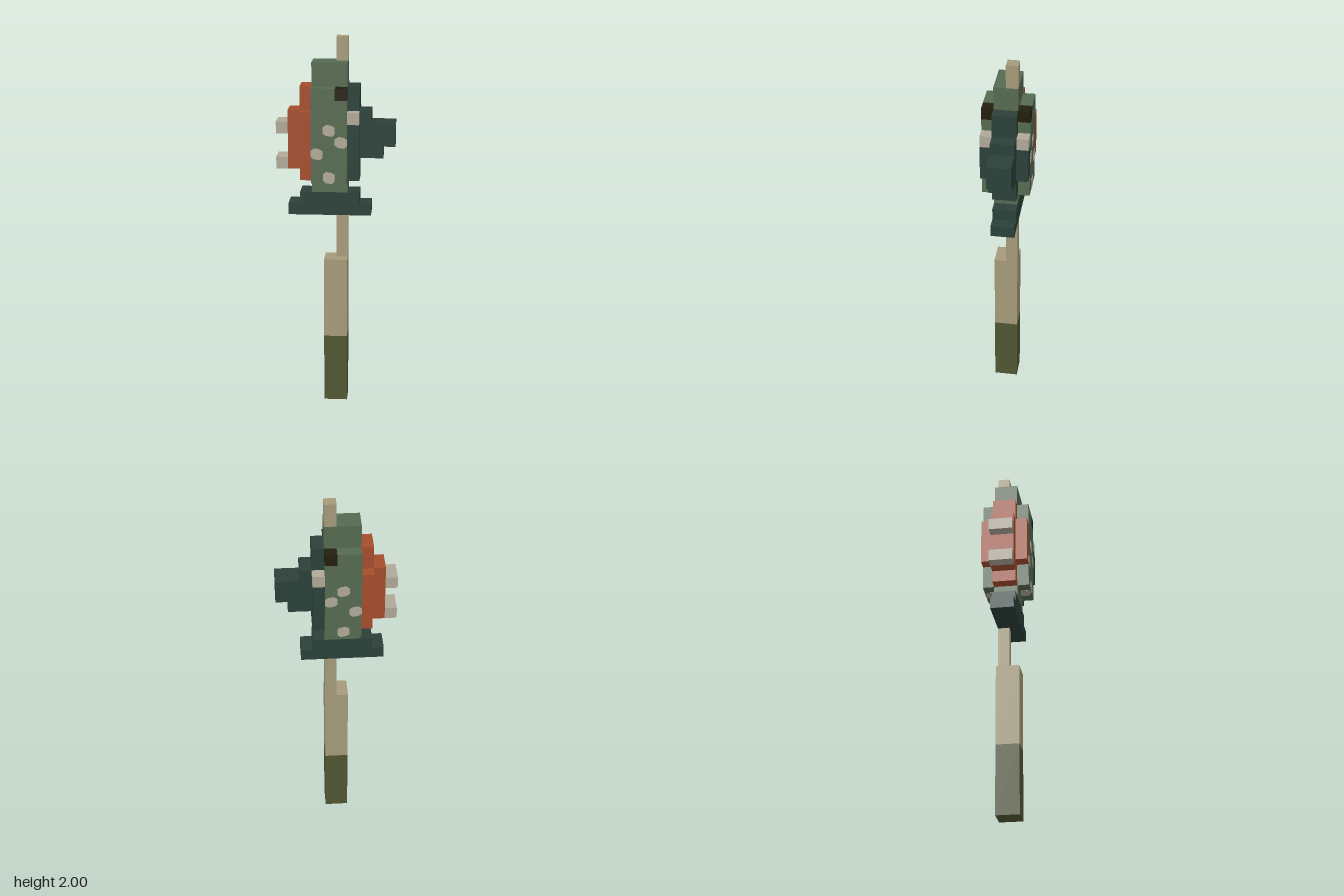
import * as THREE from 'three';

const U = 0.0625; // one voxel

const mat = (name, color) => {
  const m = new THREE.MeshStandardMaterial({ color });
  m.name = name;
  return m;
};

export function createModel() {
  const tan = mat('tan wood', 0xa59b7a);
  const olive = mat('olive grip', 0x505633);
  const teal = mat('dark teal', 0x2b4039);
  const green = mat('moss green', 0x566a51);
  const rust = mat('rust orange', 0xa54d2d);
  const cream = mat('cream', 0xb0a998);
  const black = mat('eye black', 0x221f0e);

  const root = new THREE.Group();
  root.name = 'fishOnPole';

  // Box given by its voxel limits
  const box = (name, m, x0, x1, y0, y1, z0 = -1, z1 = 1) => {
    const g = new THREE.BoxGeometry((x1 - x0) * U, (y1 - y0) * U, (z1 - z0) * U);
    g.translate((x0 + x1) * U / 2, (y0 + y1) * U / 2, (z0 + z1) * U / 2);
    const mesh = new THREE.Mesh(g, m);
    mesh.name = name;
    root.add(mesh);
  };

  // Pole
  box('grip', olive, -1, 1, 0, 6);
  box('shaft', tan, -1, 1, 6, 13);
  box('thinShaft', tan, 0, 1, 13, 17, -1, 0);
  box('tip', tan, 0, 1, 30, 32, -1, 0);

  // Base fin and body core
  box('baseFinLower', teal, -4, 3, 17, 18);
  box('baseFinUpper', teal, -3, 2, 18, 19);
  box('bodyCore', green, -2, 1, 19, 30);

  // Stepped fin on the +x side
  box('frontFinRoot', teal, 1, 2, 20, 28);
  box('frontFinMiddle', teal, 2, 3, 22, 26);
  box('frontFinOuter', teal, 3, 4, 22, 25);
  box('frontFinTip', teal, 3, 5, 23, 25);

  // Orange back with pale spines
  box('backRidge', rust, -3, -2, 20, 28);
  box('backRidgeWide', rust, -3, -2, 22, 26, -2, 2);
  box('backRidgeOuter', rust, -4, -3, 21, 26);
  for (const y of [21, 24]) box('spine', cream, -5, -4, y, y + 1);

  // Rounded, stepped spot outline
  const spotShape = new THREE.Shape([
    [-0.5, -0.25], [-0.25, -0.42], [0.25, -0.5], [0.5, -0.3],
    [0.5, 0.25], [0.25, 0.42], [-0.2, 0.5], [-0.5, 0.3],
  ].map(([x, y]) => new THREE.Vector2(x * U, y * U)));
  const spotGeometry = new THREE.ExtrudeGeometry(spotShape, { depth: 0.002, bevelEnabled: false });

  // Flanks, mirrored front and back
  for (const s of [1, -1]) {
    const z0 = s > 0 ? 1 : -2, z1 = z0 + 1;
    box('flank', green, -2, 1, 20, 27, z0, z1);
    box('flankTop', green, -2, 0, 27, 28, z0, z1);
    box('eye', black, 0, 1, 27, 28, z0, z1);
    box('gill', teal, 1, 2, 22, 25, z0, z1);
    box('gillTop', cream, 1, 2, 25, 26, z0, z1);
    for (const [x, y] of [[-0.5, 24.5], [0.5, 23.5], [-1.5, 22.5], [-0.5, 20.5]]) {
      const spot = new THREE.Mesh(spotGeometry, cream);
      spot.name = 'spot';
      spot.position.set(x * U, y * U, s > 0 ? 2 * U : -2 * U - 0.002);
      root.add(spot);
    }
    // Spot wrapping under the flank
    const under = new THREE.Mesh(spotGeometry, cream);
    under.name = 'underSpot';
    under.rotation.x = Math.PI / 2;
    under.position.set(-0.5 * U, 20 * U, s * 1.5 * U);
    root.add(under);
  }
  return root;
}
